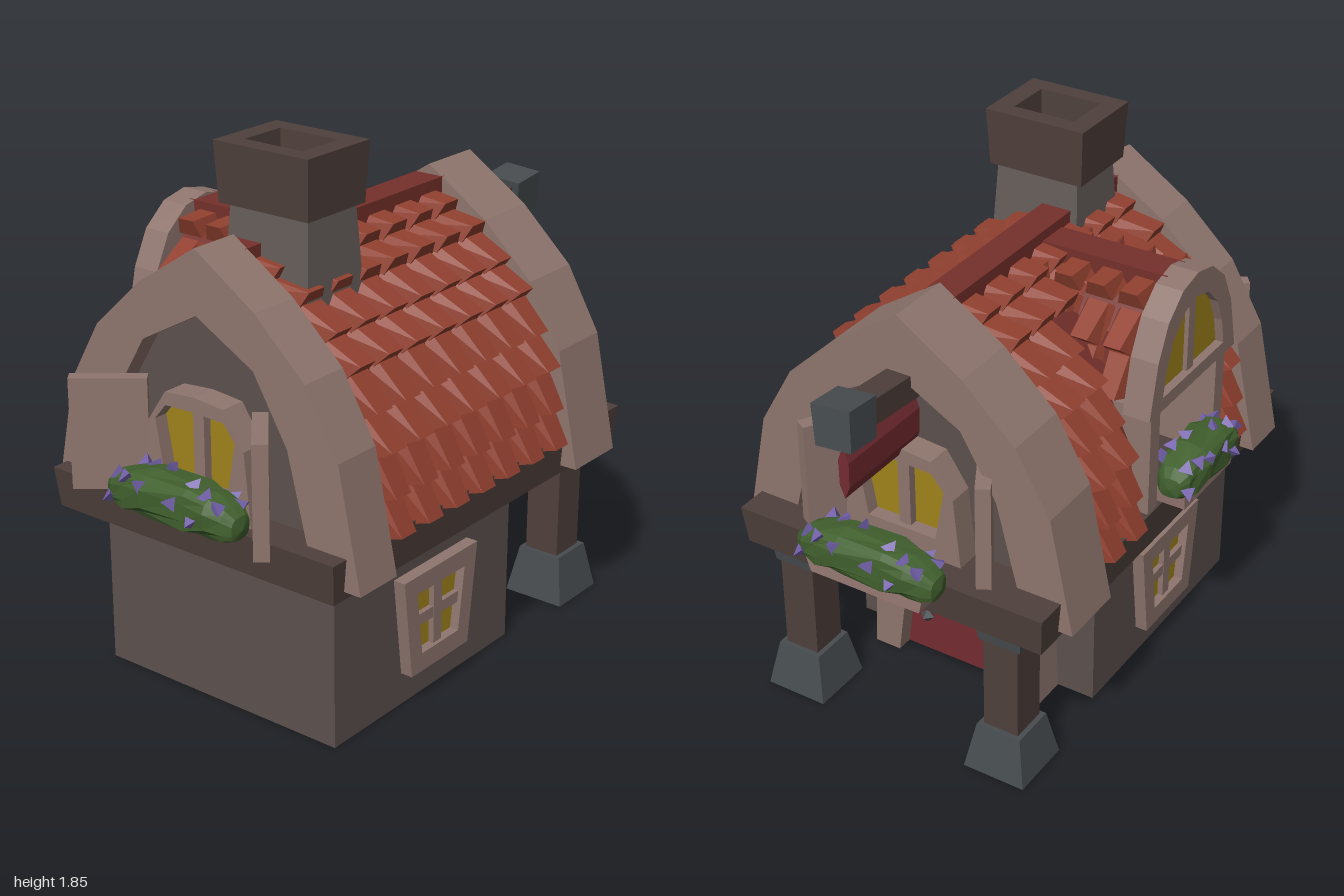
import * as THREE from 'three';
import { mergeGeometries } from 'three/addons/utils/BufferGeometryUtils.js';

const mat = (color, side = THREE.FrontSide) => new THREE.MeshStandardMaterial({ color, side, flatShading: true });
const M = {
  wall: mat(0x5c504d, THREE.DoubleSide), beam: mat(0x4f403c), trim: mat(0x8f766e), tile: mat(0x91402f), ridge: mat(0x75302b),
  stone: mat(0x474c4f), chimney: mat(0x655c59), door: mat(0x742c31), glass: mat(0xa0831c),
  leaf: mat(0x41602e), flower: mat(0x7462ac), planter: mat(0x9c7d77), dark: mat(0x2b2928),
};

// Half profiles run from the centre top down to one side: [offset, y]
const GABLE_OUT = [[0, 1.575], [0.235, 1.42], [0.425, 1.24], [0.55, 1.02], [0.635, 0.61]];
const GABLE_IN = [[0, 1.36], [0.225, 1.235], [0.355, 1.015], [0.43, 0.72], [0.46, 0.61]];
const ROOF = [[0, 1.48], [0.23, 1.365], [0.405, 1.19], [0.5, 0.99], [0.55, 0.71]];
const DORMER_OUT = [[0, 1.517], [0.1, 1.495], [0.19, 1.42], [0.25, 1.3], [0.295, 1.107]];
const DORMER_IN = [[0, 1.43], [0.08, 1.41], [0.15, 1.34], [0.19, 1.25], [0.21, 1.155]];
const DORMER_ROOF = [[0, 1.46], [0.1, 1.42], [0.18, 1.32], [0.23, 1.12]];
const DX = -0.19; // dormer centre

const poly = (pts) => new THREE.Shape(pts.map((p) => new THREE.Vector2(...p)));
const mirror = (half) => [...half.slice(1).reverse().map(([a, y]) => [-a, y]), ...half];
const ring = (out, inn) => poly([...mirror(out), ...mirror(inn).reverse()]);
const withHole = (out, inn) => { const s = poly(out); s.holes.push(poly([...inn].reverse())); return s; };

function add(parent, name, geo, material, x = 0, y = 0, z = 0) {
  const m = new THREE.Mesh(geo, material);
  m.name = name;
  m.position.set(x, y, z);
  parent.add(m);
  return m;
}
const extrude = (shape, depth) => new THREE.ExtrudeGeometry(shape, { depth, bevelEnabled: false });
// Prism running along x (shape's x becomes -z) or along z
const alongX = (g, name, shape, x0, x1, m) => add(g, name, extrude(shape, x1 - x0).rotateY(Math.PI / 2), m, x0);
const alongZ = (g, name, shape, z0, z1, m, x = 0) => add(g, name, extrude(shape, z1 - z0), m, x, 0, z0);
const box = (g, name, x0, x1, y0, y1, z0, z1, m) =>
  add(g, name, new THREE.BoxGeometry(x1 - x0, y1 - y0, z1 - z0), m, (x0 + x1) / 2, (y0 + y1) / 2, (z0 + z1) / 2);

// Box whose top face is scaled
function taperBox(w, h, d, sx, sz = sx) {
  const geo = new THREE.BoxGeometry(w, h, d), p = geo.attributes.position;
  for (let i = 0; i < p.count; i++) if (p.getY(i) > 0) p.setXYZ(i, p.getX(i) * sx, p.getY(i), p.getZ(i) * sz);
  geo.computeVertexNormals();
  return geo;
}

// Roof tile: a bevelled wedge, thicker and narrower at the lower (+z) end
function tileGeometry(w, len) {
  const geo = new THREE.BoxGeometry(w, 1, len), p = geo.attributes.position;
  for (let i = 0; i < p.count; i++) {
    const low = p.getZ(i) > 0, top = p.getY(i) > 0;
    p.setX(i, p.getX(i) * (top ? 0.62 : 1) * (low ? 0.85 : 1));
    p.setY(i, top ? (low ? 0.075 : 0.025) : (low ? 0.012 : -0.01));
  }
  geo.computeVertexNormals();
  return geo;
}

// Point and downhill direction at fraction t of a half profile
function sample(half, t) {
  const v = half.map((p) => new THREE.Vector2(...p));
  const lens = v.slice(1).map((q, i) => q.distanceTo(v[i]));
  let s = t * lens.reduce((a, b) => a + b, 0), i = 0;
  while (i < lens.length - 1 && s > lens[i]) s -= lens[i++];
  const dir = v[i + 1].clone().sub(v[i]).normalize();
  return { p: v[i].clone().addScaledVector(dir, s), dir };
}

function placeTile(list, pos, down, normal, w, len) {
  const across = new THREE.Vector3().crossVectors(normal, down);
  list.push(tileGeometry(w, len).applyMatrix4(new THREE.Matrix4().makeBasis(across, normal, down).setPosition(pos)));
}

function roofTiles(g) {
  const list = [];
  for (const side of [1, -1]) {
    for (let row = 0; row < 8; row++) {
      const { p, dir } = sample(ROOF, (row + 0.5) / 8);
      const down = new THREE.Vector3(0, dir.y, side * dir.x), normal = new THREE.Vector3(0, dir.x, -side * dir.y);
      for (let c = 0; c < 7; c++) {
        const x = -0.545 + c * 0.143;
        if (side < 0 && Math.abs(x - DX) < 0.26 && p.y < 1.36) continue;
        placeTile(list, new THREE.Vector3(x, p.y, side * p.x), down, normal, 0.138, 0.14);
      }
    }
    for (let row = 0; row < 3; row++) {
      const { p, dir } = sample(DORMER_ROOF, (row + 0.6) / 3.2);
      const down = new THREE.Vector3(side * dir.x, dir.y, 0), normal = new THREE.Vector3(-side * dir.y, dir.x, 0);
      for (let c = 0; c < 4; c++)
        placeTile(list, new THREE.Vector3(DX + side * p.x, p.y, -0.44 + c * 0.12), down, normal, 0.117, 0.14);
    }
  }
  add(g, 'roofTiles', mergeGeometries(list), M.tile);
}

// Lumpy bush with pointed blossoms, long along x, facing +z
function flowerBox(g, name, x, y, z, turn, half) {
  const f = new THREE.Group();
  f.name = name;
  f.position.set(x, y, z);
  f.rotation.y = turn;
  g.add(f);
  const squash = (a) => Math.sign(a) * Math.pow(Math.abs(a), 0.65);
  const surface = (v) => {
    const lump = 1 + 0.1 * Math.sin(v.x * 9) * Math.cos(v.y * 4 + v.z * 3);
    return new THREE.Vector3(squash(v.x) * half, squash(v.y) * 0.075 * lump - 0.03 * v.x * v.x, squash(v.z) * 0.08 * lump);
  };
  const bush = new THREE.SphereGeometry(1, 14, 9).rotateZ(Math.PI / 2), p = bush.attributes.position;
  for (let i = 0; i < p.count; i++) p.setXYZ(i, ...surface(new THREE.Vector3().fromBufferAttribute(p, i)));
  bush.computeVertexNormals();
  add(f, 'bush', bush, M.leaf);
  for (let i = 0; i < 14; i++) {
    const u = -0.8 + (1.6 * i) / 13, a = -0.2 + ((i * 1.3) % 2.9), r = Math.sqrt(1 - u * u);
    const n = new THREE.Vector3(u, Math.sin(a) * r, Math.cos(a) * r);
    add(f, 'blossom', new THREE.TetrahedronGeometry(0.032), M.flower, ...surface(n)).rotation.set(i, i * 2, 0);
  }
  return f;
}
const addPlanter = (f, w) => add(f, 'planter', taperBox(w, 0.08, 0.11, 1.1), M.planter, 0, -0.08, -0.015);

export function createModel() {
  const model = new THREE.Group();
  model.name = 'cottage';
  const g = new THREE.Group();
  g.name = 'house';
  g.position.z = 0.045;
  model.add(g);

  // Ground floor walls, open below, and overhanging upper floor
  const walls = new THREE.CylinderGeometry(Math.SQRT1_2, Math.SQRT1_2, 0.6, 4, 1, true).rotateY(Math.PI / 4);
  add(g, 'groundFloorWalls', walls.scale(0.95, 1, 0.96), M.wall, -0.255, 0.3, 0);
  add(g, 'upperFloorSlab', taperBox(1.575, 0.14, 1.15, 1.02), M.beam, -0.06, 0.65, -0.005);

  // Door
  const doorArch = [[0, 0.395], [0.12, 0.35], [0.21, 0.22], [0.24, 0]];
  alongX(g, 'doorArch', ring([[0, 0.56], [0.185, 0.49], [0.325, 0.33], [0.34, 0]], doorArch), 0.08, 0.35, M.trim);
  alongX(g, 'doorBacking', poly(mirror(doorArch)), 0.08, 0.27, M.trim);
  alongX(g, 'door', poly(mirror(doorArch)), 0.27, 0.29, M.door);
  add(g, 'doorHandle', new THREE.OctahedronGeometry(0.028), M.stone, 0.3, 0.155, 0.15);

  // Porch posts
  for (const s of [1, -1]) {
    add(g, 'postBase', taperBox(0.23, 0.17, 0.23, 0.72), M.stone, 0.625, 0.085, s * 0.405);
    box(g, 'post', 0.555, 0.69, 0.16, 0.54, s * 0.405 - 0.065, s * 0.405 + 0.065, M.beam);
    add(g, 'postCap', taperBox(0.155, 0.07, 0.155, 1.12), M.stone, 0.62, 0.555, s * 0.405);
  }

  // Ground floor windows
  const frame = [[-0.2, 0.47], [0.2, 0.47], [0.155, 0.115], [-0.155, 0.115]];
  const opening = [[-0.13, 0.405], [0.13, 0.405], [0.1, 0.18], [-0.1, 0.18]];
  for (const s of [1, -1]) {
    const w = new THREE.Group();
    w.name = s > 0 ? 'frontWindow' : 'backWindow';
    w.position.x = -0.23;
    if (s < 0) w.rotation.y = Math.PI;
    g.add(w);
    alongZ(w, 'windowFrame', withHole(frame, opening), 0.481, 0.525, M.trim);
    alongZ(w, 'windowGlass', poly(opening), 0.481, 0.492, M.glass);
    box(w, 'mullion', -0.022, 0.022, 0.18, 0.405, 0.485, 0.512, M.trim);
    box(w, 'crossbar', -0.125, 0.125, 0.275, 0.315, 0.485, 0.51, M.trim);
  }

  // Roof body, cut back behind the dormer
  const cut = [...ROOF.map(([a, y]) => [-a, y]).reverse(), ROOF[1], [0.36, 1.235], [0.36, 0.71]];
  alongX(g, 'roofBody', poly(mirror(ROOF)), -0.63, -0.4, M.ridge);
  alongX(g, 'roofBody', poly(cut), -0.4, 0.02, M.ridge);
  alongX(g, 'roofBody', poly(mirror(ROOF)), 0.02, 0.4, M.ridge);
  box(g, 'ridgeBeam', -0.63, 0.4, 1.44, 1.54, -0.055, 0.055, M.ridge);
  roofTiles(g);

  // Gable ends: arch, wall, arched window, shutters [x, z, angle] and flowers
  const winOut = [[0, 1.1], [0.12, 1.09], [0.2, 0.97], [0.225, 0.72]];
  const winIn = [[0, 1.05], [0.12, 1.045], [0.165, 0.99], [0.13, 0.8]];
  const ends = [
    { name: 'left', s: 1, a0: 0.39, a1: 0.63, wall: 0.55, bush: 0.815, shutters: [[0.585, 0.285, 0.52], [0.585, -0.285, -0.52]] },
    { name: 'right', s: -1, a0: 0.62, a1: 0.8, wall: 0.73, bush: 0.908, shutters: [[0.85, 0.335, 0.9], [0.875, -0.315, -0.7]] },
  ];
  for (const { name, s, a0, a1, wall, bush, shutters } of ends) {
    const e = new THREE.Group();
    e.name = name + 'Gable';
    if (s < 0) e.rotation.y = Math.PI;
    g.add(e);
    alongX(e, 'gableArch', ring(GABLE_OUT, GABLE_IN), a0, a1, M.trim);
    alongX(e, 'gableWall', poly(mirror(GABLE_IN)), a0, wall, M.wall);
    alongX(e, 'windowFrame', withHole(mirror(winOut), mirror(winIn)), wall, wall + 0.09, M.trim);
    alongX(e, 'windowGlass', poly(mirror(winIn)), wall, wall + 0.04, M.glass);
    box(e, 'mullion', wall, wall + 0.07, 0.78, 1.06, -0.022, 0.022, M.trim);
    for (const [x, z, angle] of shutters)
      add(e, 'shutter', new THREE.BoxGeometry(0.25, 0.38, 0.05), M.trim, x, 0.91, z).rotation.y = -angle;
    const flowers = flowerBox(e, 'gableFlowers', bush, 0.795, 0, Math.PI / 2, 0.27);
    if (s > 0) addPlanter(flowers, 0.42);
  }

  // Dormer on the back
  alongZ(g, 'dormerArch', withHole(mirror(DORMER_OUT), mirror(DORMER_IN)), -0.6, -0.5, M.trim, DX);
  alongZ(g, 'dormerGlass', poly(mirror(DORMER_IN)), -0.57, -0.53, M.glass, DX);
  box(g, 'dormerMullion', DX - 0.022, DX + 0.022, 1.14, 1.44, -0.585, -0.52, M.trim);
  alongZ(g, 'dormerRoof', poly(mirror(DORMER_ROOF)), -0.52, -0.05, M.ridge, DX);
  box(g, 'dormerRidge', DX - 0.06, DX + 0.06, 1.42, 1.505, -0.52, -0.03, M.ridge);
  box(g, 'dormerOpening', DX - 0.2, DX + 0.2, 0.72, 1.12, -0.38, -0.355, M.dark);
  for (const s of [1, -1]) {
    const x = DX + s * 0.225;
    box(g, 'dormerPost', x - 0.03, x + 0.03, 0.71, 1.12, -0.585, -0.36, M.trim);
  }
  addPlanter(flowerBox(g, 'dormerFlowers', DX, 0.84, -0.635, Math.PI, 0.21), 0.33);

  // Hollow chimney
  add(g, 'chimneyStack', taperBox(0.28, 0.34, 0.34, 0.83, 0.9), M.chimney, -0.43, 1.5, 0.08);
  const hole = [[-0.085, -0.115], [0.085, -0.115], [0.085, 0.115], [-0.085, 0.115]];
  const rim = [[-0.15, -0.187], [0.15, -0.187], [0.15, 0.187], [-0.15, 0.187]];
  const cap = extrude(withHole(rim, hole), 0.2).rotateX(-Math.PI / 2), cp = cap.attributes.position;
  for (let i = 0; i < cp.count; i++) if (cp.getY(i) < 0.1) cp.setXYZ(i, cp.getX(i) * 0.93, 0, cp.getZ(i) * 0.95);
  cap.computeVertexNormals();
  add(g, 'chimneyCap', cap, M.beam, -0.43, 1.645, 0.075);
  box(g, 'chimneyFlue', -0.52, -0.34, 1.6, 1.68, -0.045, 0.195, M.dark);

  // Banner beam over the porch
  const pole = new THREE.Group();
  pole.name = 'bannerBeam';
  pole.position.set(0.5, 1.315, 0);
  pole.rotation.set(0, 0.02, 0.1);
  g.add(pole);
  box(pole, 'beam', -0.05, 0.38, -0.045, 0.045, -0.045, 0.045, M.beam);
  add(pole, 'beamEnd', taperBox(0.13, 0.14, 0.13, 1.08), M.stone, 0.42, 0, 0).rotation.x = 0.08;
  const cloth = [[0, 1.265], [0.02, 1.21], [0.018, 1.12], [0, 1.075]];
  alongX(g, 'banner', poly([...cloth, [-0.018, 1.12], [-0.02, 1.21]]), 0.54, 0.925, M.door);

  return model;
}
